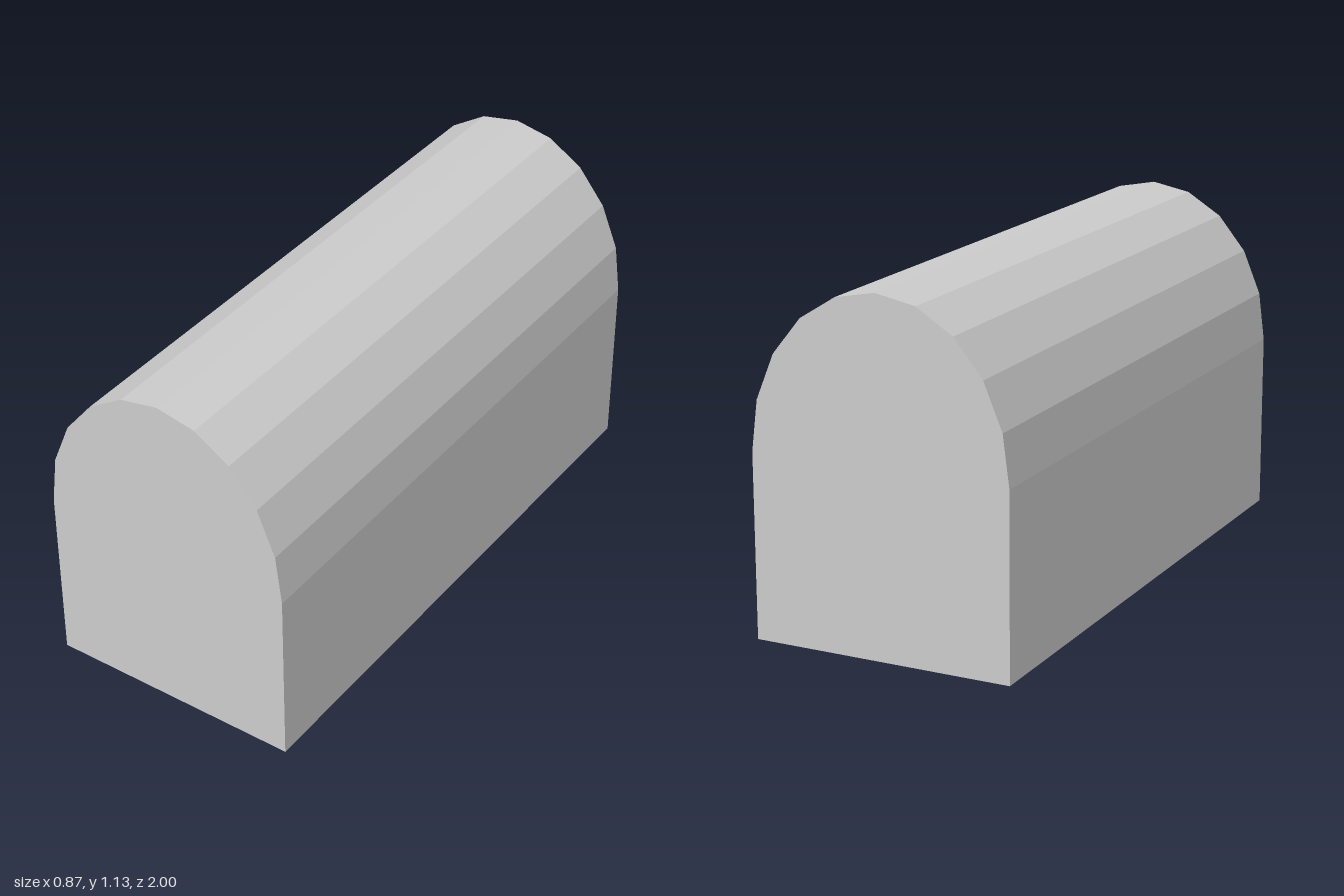
import * as THREE from 'three';

const HALF_WIDTH = 0.433, LENGTH = 2, BASE_HEIGHT = 0.6, LID_RISE = 0.532, LID_SIDES = 10;

export function createModel() {
  const group = new THREE.Group();
  group.name = 'domedChest';
  const material = new THREE.MeshStandardMaterial({ color: 0xcccccc, flatShading: true });

  // Rectangular lower body
  const base = new THREE.Mesh(new THREE.BoxGeometry(HALF_WIDTH * 2, BASE_HEIGHT, LENGTH), material);
  base.name = 'base';
  base.position.y = BASE_HEIGHT / 2;
  group.add(base);

  // Faceted half-ellipse lid running the full length
  const arch = [];
  for (let i = 0; i <= LID_SIDES; i++) {
    const a = (i / LID_SIDES) * Math.PI;
    arch.push(new THREE.Vector2(Math.cos(a) * HALF_WIDTH, Math.sin(a) * LID_RISE));
  }
  const lidGeometry = new THREE.ExtrudeGeometry(new THREE.Shape(arch), { depth: LENGTH, bevelEnabled: false });
  lidGeometry.translate(0, BASE_HEIGHT, -LENGTH / 2);
  const lid = new THREE.Mesh(lidGeometry, material);
  lid.name = 'archedLid';
  group.add(lid);

  return group;
}
